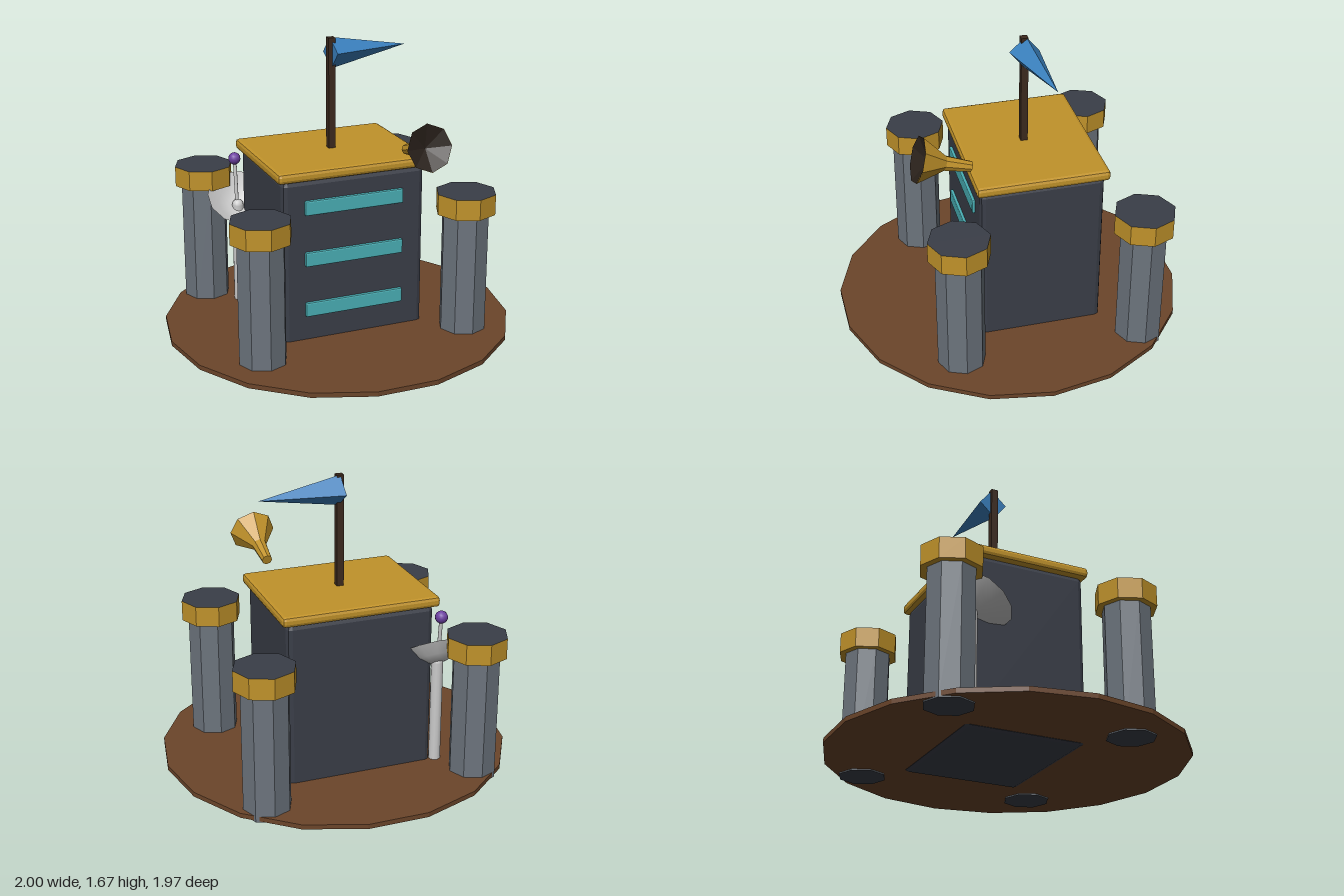
import * as THREE from 'three';
import { RoundedBoxGeometry } from 'three/addons/geometries/RoundedBoxGeometry.js';

const mat = (color, extra = {}) => {
  const m = new THREE.MeshStandardMaterial({ color, flatShading: true, ...extra });
  return m;
};

export function createModel() {
  const model = new THREE.Group();
  const CZ = -0.09; // centre line of the building in z

  const brown = mat(0x6b452a);
  const dark = mat(0x3a3e48);
  const gold = mat(0xc0922a);
  const goldOpen = mat(0xc0922a, { side: THREE.DoubleSide });
  const stone = mat(0x6c747d);
  const cyan = mat(0x4ab0b6);
  const wood = mat(0x3d2a1e);
  const blue = mat(0x3a80bd);
  const black = mat(0x2a211b, { side: THREE.DoubleSide });
  const purple = mat(0x6b3fa0, { flatShading: false });
  const grey = mat(0xcccccc, { flatShading: false });
  const greyOpen = mat(0xcccccc, { flatShading: false, side: THREE.DoubleSide });

  const add = (name, geometry, material, x, y, z, parent = model) => {
    const mesh = new THREE.Mesh(geometry, material);
    mesh.name = name;
    mesh.position.set(x, y, z);
    parent.add(mesh);
    return mesh;
  };
  // Turns an object's +y axis towards a direction
  const aim = (object, x, y, z) =>
    object.quaternion.setFromUnitVectors(new THREE.Vector3(0, 1, 0), new THREE.Vector3(x, y, z).normalize());

  // Ground disc
  add('groundDisc', new THREE.CylinderGeometry(1, 1, 0.027, 18), brown, 0, 0.024, 0).rotation.y = Math.PI / 18;

  // Main building with chamfered edges and roof slab
  add('body', new RoundedBoxGeometry(0.845, 0.98, 0.7, 1, 0.03), dark, 0, 0.49, CZ);
  add('roofSlab', new RoundedBoxGeometry(0.905, 0.06, 0.745, 1, 0.02), gold, 0, 1.004, CZ);

  // Window strips on the front wall
  for (const y of [0.22, 0.52, 0.82]) {
    add('windowStrip', new RoundedBoxGeometry(0.585, 0.085, 0.04, 1, 0.008), cyan, -0.003, y, 0.257);
  }

  // Four eight-sided columns with gold collars and dark ends
  for (const x of [-0.605, 0.605]) {
    for (const z of [-0.61, 0.42]) {
      const column = new THREE.Group();
      column.name = 'column';
      column.position.set(x, 0, z);
      model.add(column);
      add('shaft', new THREE.CylinderGeometry(0.135, 0.135, 0.74, 8), [stone, dark, dark], 0, 0.374, 0, column);
      add('collar', new THREE.CylinderGeometry(0.172, 0.172, 0.118, 8), [gold, dark, gold], 0, 0.794, 0, column);
    }
  }

  // Flagpole and four-sided pennant
  add('flagpole', new THREE.BoxGeometry(0.04, 0.66, 0.04), wood, 0, 1.34, CZ);
  const pennant = new THREE.Group();
  pennant.name = 'pennant';
  pennant.position.set(0.238, 1.582, -0.117);
  aim(pennant, 0.477, 0, -0.05);
  model.add(pennant);
  add('pennantCone', new THREE.ConeGeometry(0.088, 0.48, 4), blue, 0, 0, 0, pennant);

  // Horn floating over the front edge of the roof
  const horn = new THREE.Group();
  horn.name = 'horn';
  horn.position.set(0.3, 1.092, 0.281);
  horn.rotation.x = Math.atan2(0.286, 0.088);
  model.add(horn);
  const hornProfile = [[0, 0], [0.03, 0], [0.042, 0.15], [0.132, 0.3]].map(p => new THREE.Vector2(...p));
  add('hornBell', new THREE.LatheGeometry(hornProfile, 8), goldOpen, 0, 0, 0, horn);
  const mouthProfile = [[0, 0.24], [0.131, 0.3005]].map(p => new THREE.Vector2(...p));
  add('hornMouth', new THREE.LatheGeometry(mouthProfile, 8), black, 0, 0, 0, horn);

  // Dish on a post at the back corner, leaning forward
  add('dishPost', new THREE.CylinderGeometry(0.034, 0.034, 0.6, 12), grey, -0.455, 0.335, -0.43);
  add('dishPostTop', new THREE.SphereGeometry(0.034, 12, 8), grey, -0.455, 0.635, -0.43);
  const bowl = [[0, 0], [0.06, 0.009], [0.12, 0.037], [0.193, 0.095]].map(p => new THREE.Vector2(...p));
  const dish = add('dish', new THREE.LatheGeometry(bowl, 12, Math.PI / 12), greyOpen, -0.455, 0.622, -0.428);
  dish.rotation.x = 0.61;

  // Bulb on a thin rod above the dish
  add('bulbRod', new THREE.CylinderGeometry(0.011, 0.011, 0.27, 8), grey, -0.458, 0.765, -0.445).rotation.x = -0.1;
  add('bulb', new THREE.SphereGeometry(0.036, 12, 10), purple, -0.46, 0.913, -0.457);

  return model;
}
